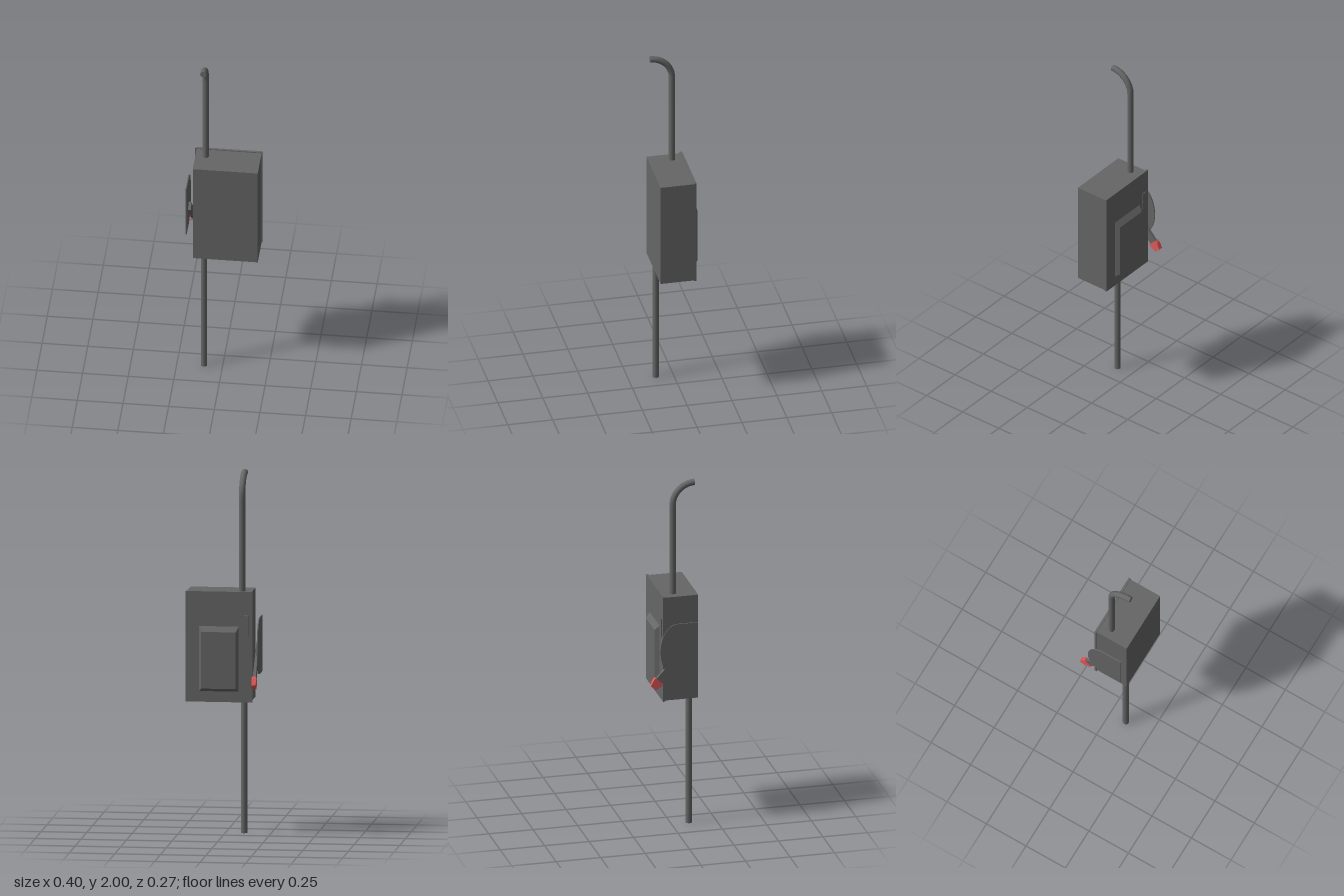
import * as THREE from 'three';

const grey = new THREE.MeshStandardMaterial({ color: 0x666666 });
const red = new THREE.MeshStandardMaterial({ color: 0xe05a5a });

export function createModel() {
  const model = new THREE.Group();
  model.name = 'switchBox';

  const add = (name, geometry, material = grey) => {
    const mesh = new THREE.Mesh(geometry, material);
    mesh.name = name;
    model.add(mesh);
    return mesh;
  };

  // Box given by its lower and upper limits on each axis
  const span = (x0, x1, y0, y1, z0, z1) =>
    new THREE.BoxGeometry(x1 - x0, y1 - y0, z1 - z0)
      .translate((x0 + x1) / 2, (y0 + y1) / 2, (z0 + z1) / 2);

  // Side profile (horizontal axis is -z) extruded across x
  const sideProfile = (shape, x0, x1) =>
    new THREE.ExtrudeGeometry(shape, { depth: x1 - x0, bevelEnabled: false, curveSegments: 20 })
      .rotateY(Math.PI / 2).translate(x0, 0, 0);

  // Cabinet and its overhanging door on the back
  add('cabinet', span(-0.159, 0.197, 0.745, 1.345, -0.05, 0.137));
  add('door', span(-0.167, 0.2, 0.742, 1.35, -0.063, -0.05));

  // Raised door panel with sloping edges
  const panel = span(-0.093, 0.125, 0.8, 1.16, -0.088, -0.062);
  const p = panel.attributes.position;
  for (let i = 0; i < p.count; i++) {
    if (p.getZ(i) > -0.08) continue;
    p.setX(i, p.getX(i) > 0 ? 0.111 : -0.079);
    p.setY(i, p.getY(i) > 1 ? 1.13 : 0.818);
  }
  const flatPanel = panel.toNonIndexed();
  flatPanel.computeVertexNormals();
  add('doorPanel', flatPanel);

  // Door latch: a thin plate with two stacked tabs
  add('latchPlate', span(-0.145, -0.118, 1.11, 1.22, -0.0655, -0.06));
  [[1.115, 1.162], [1.168, 1.215]].forEach(([y0, y1]) =>
    add('latchTab', span(-0.142, -0.121, y0, y1, -0.067, -0.062)));

  // Switch plate: straight edge towards the front, rounded towards the back
  const plate = new THREE.Shape();
  plate.moveTo(-0.123, 0.89);
  plate.lineTo(-0.01, 0.89);
  plate.absellipse(-0.01, 1.045, 0.095, 0.155, -Math.PI / 2, Math.PI / 2, false, 0);
  plate.lineTo(-0.123, 1.2);
  plate.closePath();
  add('switchPlate', sideProfile(plate, -0.2, -0.194));

  // Slanted lever with a tapered grip, laid out along the lever's axis
  const tilt = (47 * Math.PI) / 180;
  const polygon = (points) => new THREE.Shape(points.map(([along, across]) => new THREE.Vector2(
    -0.0715 + along * Math.cos(tilt) + across * Math.sin(tilt),
    1.046 - along * Math.sin(tilt) + across * Math.cos(tilt))));
  const w = 0.0225;
  add('lever', sideProfile(polygon([[0, -w], [0.26, -w], [0.26, w], [0, w]]), -0.191, -0.175));
  const g = 0.0295, tip = 0.0185;
  add('leverGrip', sideProfile(polygon([
    [0.235, -g], [0.251, -g], [0.287, -tip], [0.287, tip], [0.251, g], [0.235, g],
  ]), -0.195, -0.171), red);

  // Conduits: the upper one bends forward at its top
  const conduit = (name, path, end, segments) => {
    add(name, new THREE.TubeGeometry(path, segments, 0.0175, 16, false));
    const cap = add(name + 'End', new THREE.CircleGeometry(0.0175, 16));
    const at = path.getPointAt(end);
    cap.position.copy(at);
    cap.lookAt(at.add(path.getTangentAt(end).multiplyScalar(end ? 1 : -1)));
  };
  const V = (y, z) => new THREE.Vector3(-0.102, y, z);
  const r = 0.122, zUp = 0.008, yBend = 2 - 0.0175 - r;
  const bend = [];
  for (let i = 0; i <= 12; i++) {
    const a = (i / 12) * Math.PI / 2;
    bend.push(V(yBend + r * Math.sin(a), zUp + r * (1 - Math.cos(a))));
  }
  const upper = new THREE.CurvePath();
  upper.add(new THREE.LineCurve3(V(1.34, zUp), V(yBend, zUp)));
  upper.add(new THREE.CatmullRomCurve3(bend));
  conduit('upperConduit', upper, 1, 40);
  conduit('lowerConduit', new THREE.LineCurve3(V(0, 0.098), V(0.75, 0.098)), 0, 1);

  return model;
}
